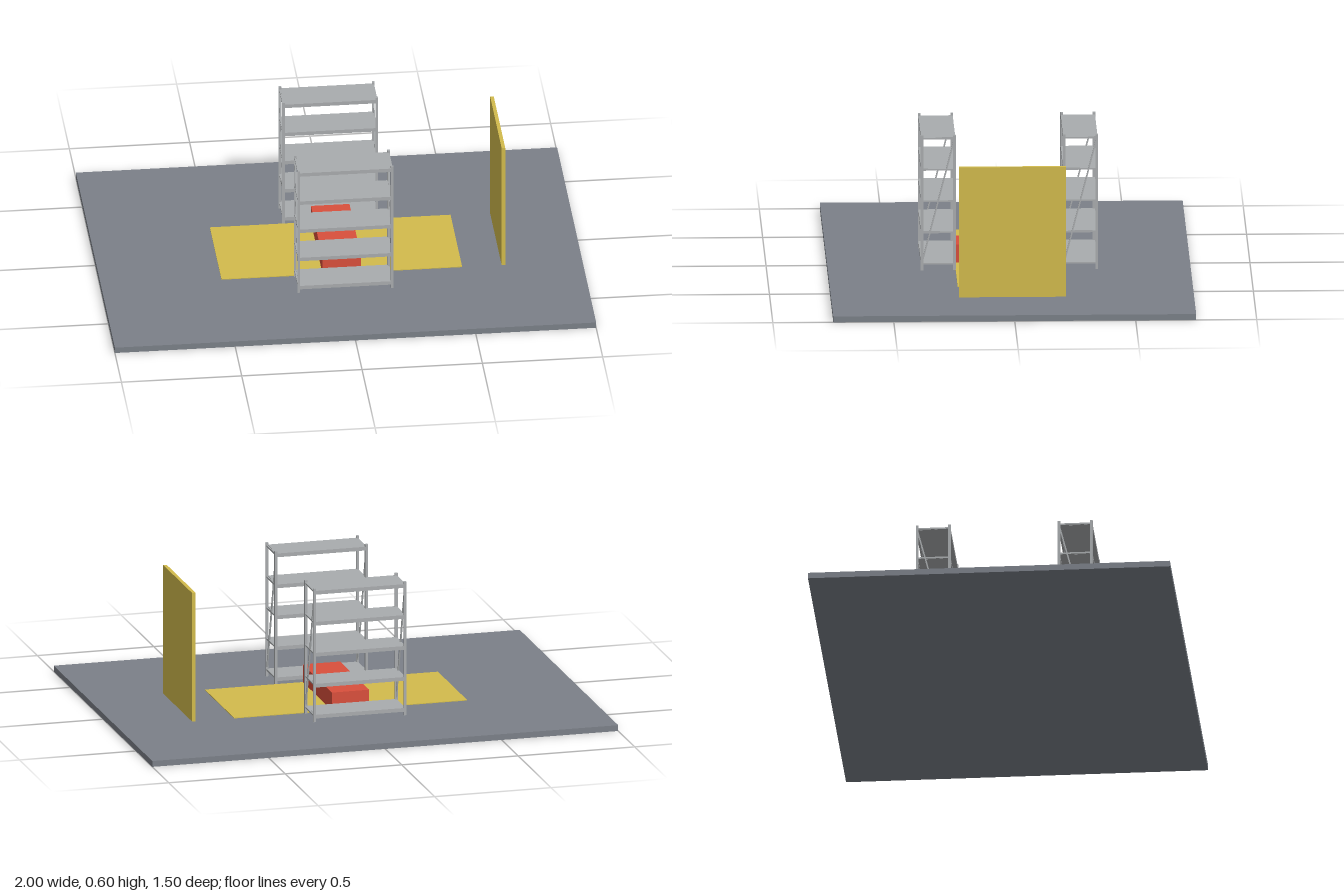
import * as THREE from 'three';

const material = (color) => new THREE.MeshStandardMaterial({ color });
const slabGrey = material(0x7b8088);
const steel = material(0xa9acae);
const yellow = material(0xd2bb4c);
const red = material(0xd94f3c);

const FLOOR = 0.025; // top of the floor slab
const HALF_X = 0.194; // rack post centres
const HALF_Z = 0.067;
const POST = 0.011;
const RACK_TOP = 0.598;

function box(parent, name, size, position, mat) {
  const mesh = new THREE.Mesh(new THREE.BoxGeometry(...size), mat);
  mesh.name = name;
  mesh.position.set(...position);
  parent.add(mesh);
  return mesh;
}

function createRack(name, z) {
  const rack = new THREE.Group();
  rack.name = name;
  rack.position.z = z;

  for (const x of [-HALF_X, HALF_X]) {
    // Corner posts
    for (const pz of [-HALF_Z, HALF_Z]) {
      box(rack, 'post', [POST, RACK_TOP - FLOOR, POST], [x, (RACK_TOP + FLOOR) / 2, pz], steel);
    }
    // Diagonal side brace, rising towards the back
    const rise = 0.525;
    const run = 2 * HALF_Z;
    const brace = box(rack, 'diagonalBrace', [0.006, Math.hypot(rise, run), 0.006], [x, 0.318, 0], steel);
    brace.rotation.x = -Math.atan2(run, rise);
  }

  // Five shelves: thin deck, front and back beams, side rails
  for (let i = 0; i < 5; i++) {
    const top = 0.056 + i * 0.133;
    box(rack, 'shelfDeck', [2 * HALF_X - 0.006, 0.008, 2 * HALF_Z], [0, top - 0.004, 0], steel);
    for (const side of [-1, 1]) {
      box(rack, 'shelfBeam', [2 * HALF_X, 0.016, 0.008], [0, top - 0.008, side * HALF_Z], steel);
      box(rack, 'sideRail', [0.006, 0.007, 2 * HALF_Z], [side * HALF_X, top - 0.004, 0], steel);
    }
  }
  return rack;
}

export function createModel() {
  const model = new THREE.Group();
  model.name = 'storageRoom';

  box(model, 'floorSlab', [2, FLOOR, 1.5], [0, FLOOR / 2, 0], slabGrey);
  // Aisle marking between the racks
  box(model, 'floorMarking', [1, 0.003, 0.444], [0, FLOOR + 0.0015, 0], yellow);
  box(model, 'redBlock', [0.16, 0.079, 0.444], [0, FLOOR + 0.0395, 0], red);
  // Upright panel at the end of the aisle
  box(model, 'uprightPanel', [0.015, 0.552, 0.442], [0.672, FLOOR + 0.276, 0], yellow);

  model.add(createRack('frontRack', 0.294), createRack('backRack', -0.294));
  return model;
}
